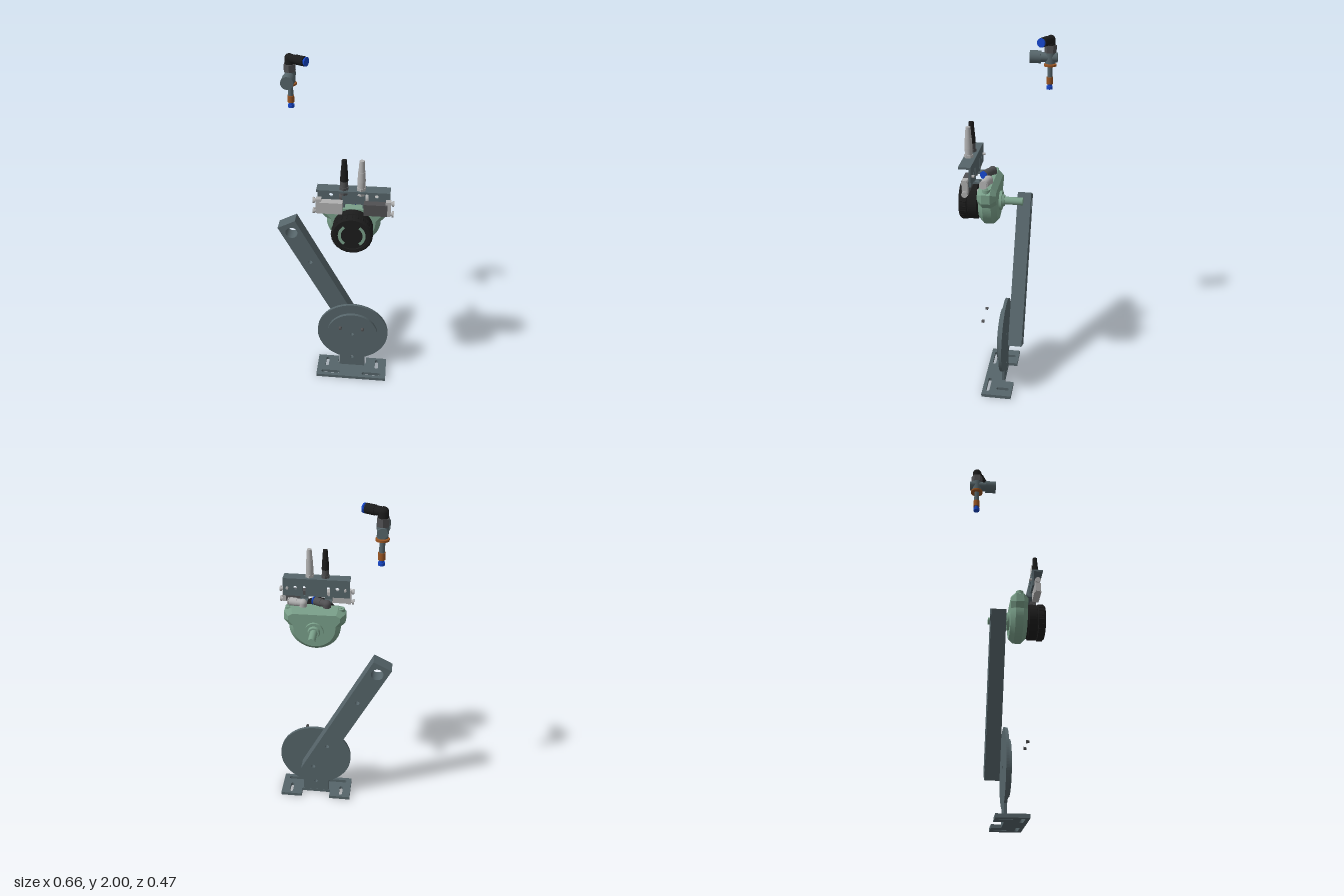
import * as THREE from 'three';

const SLATE = 0x56656a, GREEN = 0x7aa08a, BLACK = 0x1c1c1c, STEEL = 0xb0b0b0, DARK = 0x505052, BLUE = 0x1646c8, COPPER = 0x9a5522;
const V = (x, y, z) => new THREE.Vector3(x, y, z);

function add(parent, name, geometry, color) {
  const mesh = new THREE.Mesh(geometry, new THREE.MeshStandardMaterial({ color }));
  mesh.name = name;
  parent.add(mesh);
  return mesh;
}

// box given by its minimum and maximum corners
function box(parent, name, color, [x0, y0, z0], [x1, y1, z1]) {
  const m = add(parent, name, new THREE.BoxGeometry(x1 - x0, y1 - y0, z1 - z0), color);
  m.position.set((x0 + x1) / 2, (y0 + y1) / 2, (z0 + z1) / 2);
  return m;
}

// round or polygonal rod between two points
function rod(parent, name, color, a, b, ra, rb = ra, sides = 32) {
  const d = b.clone().sub(a);
  const m = add(parent, name, new THREE.CylinderGeometry(rb, ra, d.length(), sides), color);
  if (sides < 9) m.material.flatShading = true;
  m.position.copy(a).addScaledVector(d, 0.5);
  m.quaternion.setFromUnitVectors(V(0, 1, 0), d.normalize());
  return m;
}

function hole(shape, x, y, r) {
  shape.holes.push(new THREE.Path().absarc(x, y, r, 0, Math.PI * 2, true));
}

// slot with round ends between two points
function slot(shape, x0, y0, x1, y1, r) {
  const a = Math.atan2(y1 - y0, x1 - x0), p = new THREE.Path();
  p.absarc(x1, y1, r, a + Math.PI / 2, a - Math.PI / 2, true);
  p.absarc(x0, y0, r, a - Math.PI / 2, a - Math.PI * 1.5, true);
  p.closePath();
  shape.holes.push(p);
}

const polygon = (pts) => new THREE.Shape(pts.map(([x, y]) => new THREE.Vector2(x, y)));

// flat plate cut from a shape in the xy plane
function plate(parent, name, color, shape, z0, z1) {
  const g = new THREE.ExtrudeGeometry(shape, { depth: z1 - z0, bevelEnabled: false, curveSegments: 40 });
  const m = add(parent, name, g, color);
  m.position.z = z0;
  return m;
}

// elbow push-in fitting: upright swivel, tilted barrel and release ring
function elbow(parent, name, color, ringColor, base, dir, length, r, height) {
  const g = new THREE.Group();
  g.name = name;
  parent.add(g);
  const top = base.clone().add(V(0, height, 0)), d = dir.clone().normalize();
  const at = (s) => top.clone().addScaledVector(d, s);
  rod(g, 'swivel', color, base, top, r);
  add(g, 'elbowCorner', new THREE.SphereGeometry(r, 24, 16), color).position.copy(top);
  rod(g, 'barrel', color, top, at(length * 0.45), r * 0.9);
  rod(g, 'barrelSleeve', color, at(length * 0.4), at(length * 0.87), r);
  rod(g, 'ringNeck', ringColor, at(length * 0.85), at(length * 0.95), r * 0.7);
  rod(g, 'releaseRing', ringColor, at(length * 0.93), at(length), r * 0.95);
}

function buildStand(root) {
  const g = new THREE.Group();
  g.name = 'stand';
  root.add(g);
  const cx = 0.112, cy = 0.302;
  // foot drawn in x and -z, notched at the back
  const foot = polygon([[-0.107, -0.112], [0.332, -0.112], [0.332, 0.063], [0.201, 0.063],
    [0.201, 0.009], [0.023, 0.009], [0.023, 0.063], [-0.107, 0.063]]);
  for (const s of [-1, 1]) {
    slot(foot, cx + s * 0.159, -0.02, cx + s * 0.159, 0.035, 0.0105);
    slot(foot, cx + s * 0.08, -0.08, cx + s * 0.178, -0.08, 0.0105);
  }
  plate(g, 'foot', SLATE, foot, 0, 0.02).rotation.x = -Math.PI / 2;
  g.children[0].position.z = 0;

  // round upright with neck
  const a = Math.asin(0.08 / 0.218), up = new THREE.Shape();
  up.moveTo(cx - 0.08, 0.01);
  up.lineTo(cx + 0.08, 0.01);
  up.absarc(cx, cy, 0.218, -Math.PI / 2 + a, Math.PI * 1.5 - a, false);
  up.closePath();
  hole(up, cx, cy, 0.01);
  hole(up, cx, 0.09, 0.01);
  plate(g, 'upright', SLATE, up, -0.008, 0.009);
  const disc = new THREE.Shape().absarc(cx, cy, 0.155, 0, Math.PI * 2);
  hole(disc, cx, cy, 0.01);
  plate(g, 'raisedDisc', SLATE, disc, 0.009, 0.027);
  for (const s of [-1, 1])
    rod(g, 'smallPin', DARK, V(cx + s * 0.067, 0.432, 0.114), V(cx + s * 0.067, 0.432, 0.13), 0.01, 0.007, 16);
}

function buildArm(root) {
  // bar runs down from its top end and is tilted about it
  const s = polygon([[-0.0575, -0.91], [0.0575, -0.91], [0.0575, 0], [-0.0575, 0]]);
  hole(s, 0, -0.062, 0.035);
  for (const y of [-0.29, -0.67, -0.855]) hole(s, 0, y, 0.012);
  const m = plate(root, 'arm', SLATE, s, -0.107, -0.027);
  m.position.set(-0.281, 1.06, -0.107);
  m.rotation.z = THREE.MathUtils.degToRad(27.5);
}

function buildActuator(root) {
  const g = new THREE.Group();
  g.name = 'actuator';
  root.add(g);
  const cx = 0.112, cy = 1.185;
  // housing: eared top, round bottom, chamfered front and back
  const s = new THREE.Shape();
  s.moveTo(cx + 0.13, 1.312);
  s.lineTo(cx - 0.13, 1.312);
  s.lineTo(cx - 0.172, 1.285);
  s.lineTo(cx - 0.172, 1.235);
  s.lineTo(cx - 0.145, 1.205);
  s.absarc(cx, 1.202, 0.145, Math.PI, Math.PI * 2, false);
  s.lineTo(cx + 0.172, 1.235);
  s.lineTo(cx + 0.172, 1.285);
  const t = 0.027;
  const body = add(g, 'housing', new THREE.ExtrudeGeometry(s, { depth: 0.046, bevelThickness: t, bevelSize: t,
    bevelOffset: -t, bevelSegments: 1, curveSegments: 28 }), GREEN);
  body.position.z = 0.027 + t;
  rod(g, 'shaftFlange', GREEN, V(cx, cy, 0.04), V(cx, cy, 0.013), 0.052);
  rod(g, 'shaftBoss', GREEN, V(cx, cy, 0.02), V(cx, cy, 0), 0.038, 0.03);
  rod(g, 'shaft', GREEN, V(cx, cy, 0.01), V(cx, cy, -0.098), 0.021);
  for (const k of [-1, 1]) {
    rod(g, 'earBoss', GREEN, V(cx + k * 0.143, 1.25, 0.077), V(cx + k * 0.143, 1.31, 0.077), 0.022);
    rod(g, 'earScrew', GREEN, V(cx + k * 0.143, 1.3, 0.077), V(cx + k * 0.143, 1.314, 0.077), 0.011, 0.011, 6);
    rod(g, 'frontScrew', STEEL, V(cx + k * 0.1, 1.275, 0.11), V(cx + k * 0.1, 1.275, 0.131), 0.013);
  }

  // two-part cap with a recessed rim and curved marks on its face
  const cap = [[0, 0.12], [0.09, 0.12], [0.1, 0.136], [0.107, 0.14], [0.107, 0.184], [0.1, 0.187], [0.1, 0.191],
    [0.109, 0.194], [0.109, 0.226], [0.1, 0.236], [0.083, 0.236], [0.081, 0.23], [0, 0.23]];
  const lathe = add(g, 'cap', new THREE.LatheGeometry(cap.map(([r, z]) => new THREE.Vector2(r, z)), 48), BLACK);
  lathe.material.flatShading = true;
  lathe.rotation.x = Math.PI / 2;
  lathe.position.set(cx, cy, 0);
  for (const k of [0, Math.PI]) {
    const arc = new THREE.Shape();
    arc.absarc(0, 0, 0.073, k - 0.9, k + 0.9, false);
    arc.absarc(0, 0, 0.057, k + 0.9, k - 0.9, true);
    plate(g, 'capMark', GREEN, arc, 0.228, 0.232).position.set(cx, cy, 0.228);
  }
  for (let i = 0; i < 24; i++) {
    const a = i * Math.PI / 12, x = cx + 0.106 * Math.cos(a), y = cy + 0.106 * Math.sin(a);
    rod(g, 'gripRib', BLACK, V(x, y, 0.196), V(x, y, 0.226), 0.005, 0.005, 8);
  }
  elbow(g, 'darkAirFitting', DARK, BLUE, V(0.046, 1.3, 0.077), V(0.08, 0, 0.037), 0.088, 0.023, 0.03);
  elbow(g, 'lightAirFitting', STEEL, STEEL, V(0.179, 1.3, 0.077), V(0.085, 0, 0.016), 0.085, 0.023, 0.03);
}

function buildBracket(root) {
  const g = new THREE.Group();
  g.name = 'sensorBracket';
  root.add(g);
  const cx = 0.114;
  // back plate with slots and two lower legs
  const s = polygon([[-0.074, 1.44], [-0.074, 1.335], [0.025, 1.335], [0.025, 1.312], [0.068, 1.312], [0.068, 1.335],
    [0.16, 1.335], [0.16, 1.312], [0.203, 1.312], [0.203, 1.335], [0.302, 1.335], [0.302, 1.44]]);
  for (const k of [-1, 1]) {
    slot(s, cx + k * 0.068, 1.345, cx + k * 0.068, 1.39, 0.008);
    hole(s, cx + k * 0.118, 1.385, 0.011);
  }
  plate(g, 'backPlate', SLATE, s, 0.147, 0.158);
  box(g, 'topFlange', SLATE, [-0.074, 1.43, 0.147], [0.302, 1.441, 0.211]);
  for (const k of [-1, 1]) {
    const x = cx + k * 0.0675;
    const tab = polygon([[x - 0.0215, -0.158], [x + 0.0215, -0.158], [x + 0.0215, -0.116], [x + 0.011, -0.104],
      [x - 0.011, -0.104], [x - 0.0215, -0.116]]);
    hole(tab, x, -0.118, 0.008);
    const m = plate(g, 'mountingTab', SLATE, tab, 0, 0.01);
    m.rotation.x = -Math.PI / 2;
    m.position.y = 1.312;

    // switch block with end terminals
    const color = k < 0 ? STEEL : DARK, ex = cx + k * 0.18;
    box(g, 'switchBlock', color, k < 0 ? [-0.06, 1.295, 0.16] : [0.168, 1.295, 0.16],
      k < 0 ? [0.058, 1.36, 0.2] : [0.29, 1.36, 0.2]);
    box(g, 'switchBracket', STEEL, [ex - 0.014, 1.29, 0.163], [ex + 0.014, 1.375, 0.192]);
    for (const y of [1.3, 1.362]) {
      rod(g, 'terminalStem', STEEL, V(ex, y, 0.178), V(ex + k * 0.027, y, 0.178), 0.009);
      rod(g, 'terminalKnob', STEEL, V(ex + k * 0.02, y, 0.178), V(ex + k * 0.03, y, 0.178), 0.016);
    }
    rod(g, 'rearBolt', STEEL, V(cx + k * 0.163, 1.385, 0.132), V(cx + k * 0.163, 1.385, 0.15), 0.007);
  }

  // cable connectors on the flange
  for (const [x, color, nut] of [[0.066, BLACK, DARK], [0.154, STEEL, STEEL]]) {
    const c = (y) => V(x, y, 0.184);
    rod(g, 'connectorNut', nut, c(1.44), c(1.456), 0.025, 0.025, 6);
    rod(g, 'connectorBase', nut, c(1.455), c(1.49), 0.02);
    rod(g, 'connectorBody', color, c(1.49), c(1.545), 0.021, 0.018);
    rod(g, 'strainRelief', color, c(1.545), c(1.605), 0.017, 0.013);
    rod(g, 'lowerNut', nut, c(1.41), c(1.43), 0.02, 0.02, 6);
  }
}

function buildValve(root) {
  const g = new THREE.Group();
  g.name = 'flowValve';
  root.add(g);
  const x = -0.253, z = -0.195, p = (y) => V(x, y, z);
  rod(g, 'valveBody', SLATE, V(x, 1.88, -0.235), V(x, 1.88, -0.14), 0.026);
  rod(g, 'valveCap', SLATE, V(x, 1.88, -0.145), V(x, 1.88, -0.085), 0.034);
  rod(g, 'valveHub', SLATE, p(1.848), p(1.905), 0.028);
  rod(g, 'hexCollar', DARK, p(1.905), p(1.945), 0.033, 0.033, 6);
  rod(g, 'washer', COPPER, p(1.833), p(1.843), 0.034);
  rod(g, 'stem', SLATE, p(1.765), p(1.85), 0.014);
  rod(g, 'sealRing', COPPER, p(1.735), p(1.772), 0.018);
  rod(g, 'lowerNeck', BLUE, p(1.718), p(1.737), 0.012);
  rod(g, 'lowerReleaseRing', BLUE, p(1.706), p(1.722), 0.017);
  elbow(g, 'elbowFitting', BLACK, BLUE, p(1.94), V(0.092, 0, 0.043), 0.105, 0.025, 0.033);
}

export function createModel() {
  const root = new THREE.Group();
  root.name = 'valveActuatorKit';
  buildStand(root);
  buildArm(root);
  buildActuator(root);
  buildBracket(root);
  buildValve(root);
  return root;
}
